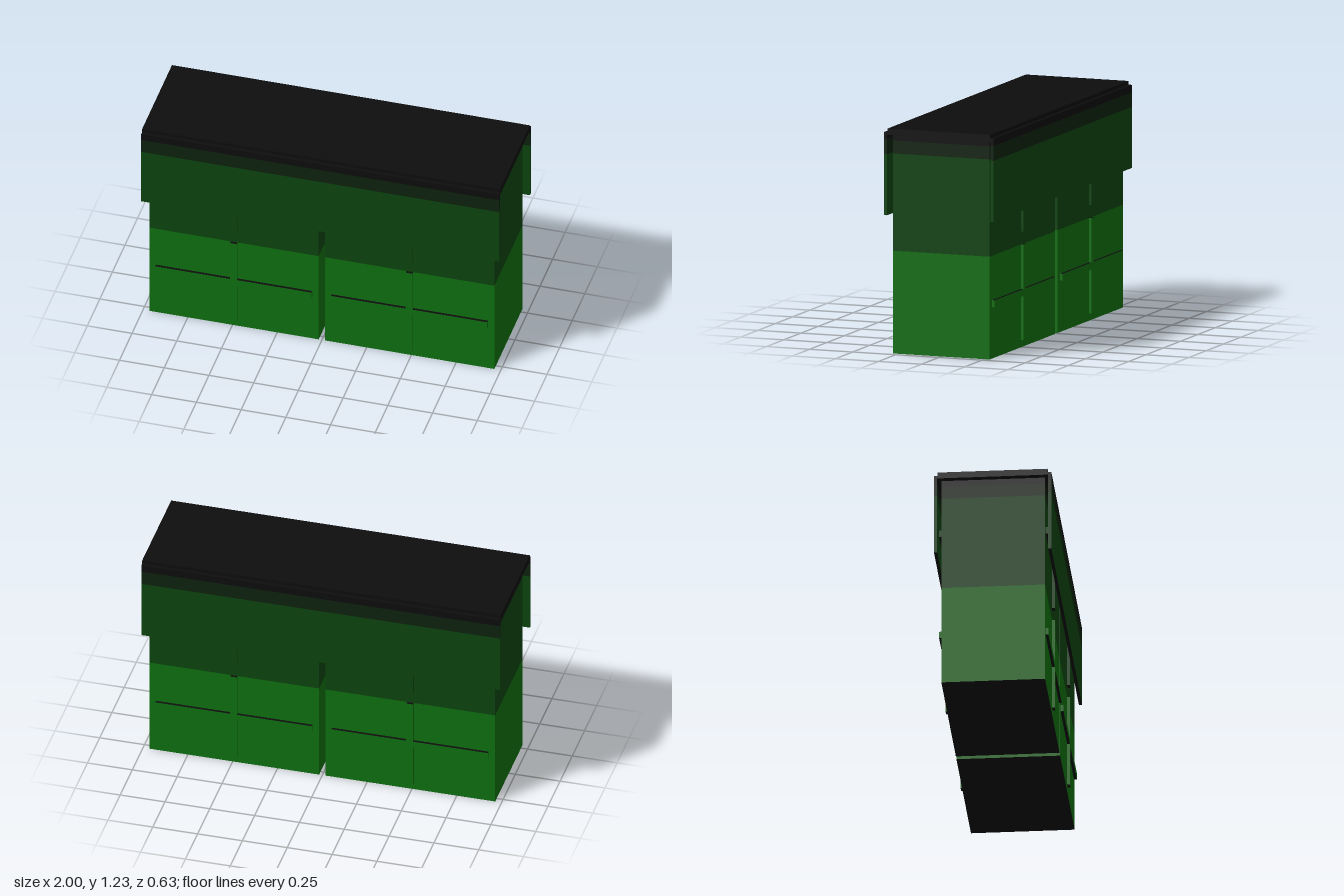
import * as THREE from 'three';

const paint = (name, color) => {
  const m = new THREE.MeshStandardMaterial({ color });
  m.name = name;
  return m;
};

export function createModel() {
  const model = new THREE.Group();
  model.name = 'twinContainer';

  const materials = [
    paint('brightGreen', 0x0f7010),
    paint('darkGreen', 0x0d450e),
    paint('deepGreen', 0x0e230f),
    paint('black', 0x0d0d0d),
  ];
  const BRIGHT = 0, DARK = 1, DEEP = 2, BLACK = 3;

  // Box whose walls are painted in horizontal bands; its top and bottom are black.
  // levels run upwards, bands[i] fills levels[i] to levels[i + 1].
  function bandedBox(name, x0, x1, z0, z1, levels, bands) {
    const n = bands.length;
    const geo = new THREE.BoxGeometry(x1 - x0, n, z1 - z0, 1, n, 1);
    const pos = geo.attributes.position;
    for (let i = 0; i < pos.count; i++) pos.setY(i, levels[Math.round(pos.getY(i) + n / 2)]);
    geo.translate((x0 + x1) / 2, 0, (z0 + z1) / 2);
    geo.clearGroups();
    let start = 0;
    const add = (band) => {
      geo.addGroup(start, 6, band);
      start += 6;
    };
    const wall = () => {
      for (let row = n - 1; row >= 0; row--) add(bands[row]);
    };
    wall(); wall();
    add(BLACK); add(BLACK);
    wall(); wall();
    const mesh = new THREE.Mesh(geo, materials);
    mesh.name = name;
    model.add(mesh);
  }

  for (const side of [-1, 1]) {
    const label = side > 0 ? 'left' : 'right';
    const c = side * 0.491;

    // Main container half
    bandedBox(label + 'Body', c - 0.473, c + 0.473, -0.28, 0.28,
      [0, 0.56, 1.09, 1.16, 1.2], [BRIGHT, DARK, DEEP, BLACK]);

    // Raised ribs forming a cross on the lower and upper panels, front and back
    for (const face of [-1, 1]) {
      const z0 = face > 0 ? 0.28 : -0.295;
      const z1 = z0 + 0.015;
      bandedBox(label + 'LowerRib', c - 0.019, c + 0.019, z0, z1, [0.04, 0.56], [BRIGHT]);
      bandedBox(label + 'UpperRib', c - 0.019, c + 0.019, z0, z1, [0.63, 1.06, 1.16], [DARK, BLACK]);
      for (const [a, b] of [[c - 0.437, c - 0.019], [c + 0.019, c + 0.437]]) {
        bandedBox(label + 'LowerCrossBar', a, b, z0, z1, [0.28, 0.318], [BRIGHT]);
        bandedBox(label + 'UpperCrossBar', a, b, z0, z1, [0.88, 0.918], [DARK]);
      }
    }
  }

  // Lid, with a strip on each long side that carries a hanging flap
  bandedBox('lid', -1, 1, -0.297, 0.297, [1.195, 1.23], [BLACK]);
  for (const face of [-1, 1]) {
    const strip = [0.297 * face, 0.3 * face].sort((a, b) => a - b);
    const flap = [0.3 * face, 0.317 * face].sort((a, b) => a - b);
    const label = face > 0 ? 'front' : 'back';
    bandedBox(label + 'HingeStrip', -1, 1, ...strip, [1.195, 1.21], [BLACK]);
    bandedBox(label + 'Flap', -1, 1, ...flap, [0.757, 1.09, 1.17, 1.21], [DARK, DEEP, BLACK]);
  }

  return model;
}
